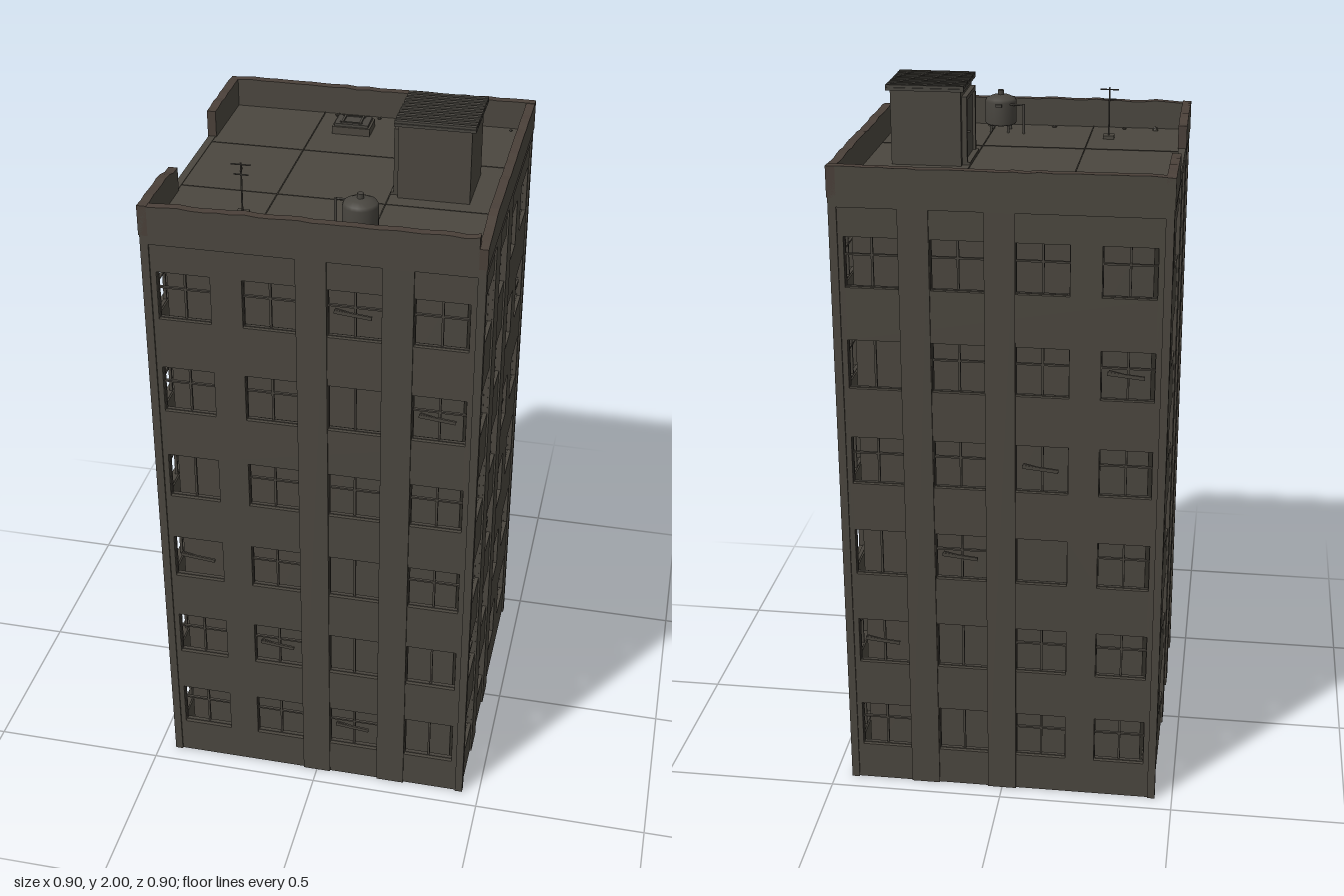
import * as THREE from 'three';

const mat = (name, color) => Object.assign(new THREE.MeshStandardMaterial({ color }), { name });

export function createModel() {
  const concrete = mat('concrete', 0x4b473f);
  const trim = mat('trim', 0x48443d);
  const metal = mat('metal', 0x48453f);
  const rust = mat('rusty concrete', 0x4a4039);
  const model = new THREE.Group();
  model.name = 'derelictTowerBlock';

  let seed = 7;
  const rand = () => (seed = (seed * 16807) % 2147483647) / 2147483647;

  const add = (parent, name, geometry, material, x = 0, y = 0, z = 0) => {
    const mesh = new THREE.Mesh(geometry, material);
    mesh.name = name;
    mesh.position.set(x, y, z);
    parent.add(mesh);
    return mesh;
  };
  // Box given by its limits on each axis
  const box = (parent, name, material, x0, x1, y0, y1, z0, z1) =>
    add(parent, name, new THREE.BoxGeometry(x1 - x0, y1 - y0, z1 - z0), material,
      (x0 + x1) / 2, (y0 + y1) / 2, (z0 + z1) / 2);
  const rod = (parent, name, material, r, a, b) => {
    const path = new THREE.LineCurve3(new THREE.Vector3(...a), new THREE.Vector3(...b));
    return add(parent, name, new THREE.TubeGeometry(path, 1, r, 6), material);
  };
  const extrude = (shape, depth) => new THREE.ExtrudeGeometry(shape, { depth, bevelEnabled: false });

  // Window grid shared by the four facades
  const columns = [-0.341, -0.112, 0.113, 0.341];
  const rows = [0.183, 0.463, 0.748, 1.03, 1.313, 1.6];
  const W = 0.072, H = 0.07;

  // Bar layout per window, bottom row first: + both bars, | upright, - crossbar, o empty
  const layouts = ['+++|', '++||', 'o+|+', '|+++', '++|+', '++++'];
  // Loose boards as [column, row]
  const frontBoards = [[2, 0], [1, 1], [0, 2], [3, 4], [2, 5]];
  const sideBoards = [[0, 1], [1, 2], [2, 3], [3, 4]];

  function windowUnit(parent, x, y, kind, board) {
    const g = new THREE.Group();
    g.name = 'window';
    g.position.set(x, y, 0.424);
    parent.add(g);
    const t = 0.004;
    for (const s of [-1, 1]) {
      box(g, 'frameSide', trim, s * W - t / 2, s * W + t / 2, -H, H, 0, 0.01);
      box(g, 'frameRail', trim, -W, W, s * H - t / 2, s * H + t / 2, 0, 0.01);
    }
    if (kind === '+' || kind === '-') box(g, 'crossbar', trim, -W, W, 0.016, 0.021, 0, 0.008);
    if (kind === '+' || kind === '|') box(g, 'mullion', trim, -0.003, 0.003, kind === '|' ? -H : -H * 0.95, H, 0, 0.008);
    if (board) {
      const plank = box(g, 'loosePlank', trim, -0.05, 0.05, -0.005, 0.005, 0.01, 0.016);
      plank.position.x = -0.005;
      plank.rotation.z = -0.1;
      box(g, 'plankSplinter', trim, -0.052, 0.0, 0.004, 0.009, 0.01, 0.015).rotation.z = -0.22;
    }
  }

  // Parapet section with a chipped top edge
  function parapet(parent, u0, u1, height) {
    const shape = new THREE.Shape();
    shape.moveTo(u0, 1.775);
    shape.lineTo(u1, 1.775);
    const n = Math.max(4, Math.round((u1 - u0) / 0.035));
    for (let i = n; i >= 0; i--) {
      const u = u0 + ((u1 - u0) * i) / n;
      shape.lineTo(u, height(u) - rand() * 0.006);
    }
    add(parent, 'parapet', extrude(shape, 0.025), [concrete, rust], 0, 0, 0.427);
  }

  // Four facades: pierced wall, windows, pilasters, cornice
  const facades = [
    ['frontFacade', 0, [0, 0.227], frontBoards],
    ['leftFacade', Math.PI / 2, [-0.227, 0], sideBoards],
    ['backFacade', Math.PI, [-0.227, 0], sideBoards],
    ['rightFacade', -Math.PI / 2, [0, 0.227], frontBoards],
  ];
  facades.forEach(([name, angle, strips, boards], f) => {
    const g = new THREE.Group();
    g.name = name;
    g.rotation.y = angle;
    model.add(g);

    const wall = new THREE.Shape([[-0.445, 0], [0.445, 0], [0.445, 1.75], [-0.445, 1.75]]
      .map(([x, y]) => new THREE.Vector2(x, y)));
    rows.forEach((y, r) => columns.forEach((x, c) => {
      wall.holes.push(new THREE.Path([[-W, -H], [-W, H], [W, H], [W, -H]]
        .map(([a, b]) => new THREE.Vector2(x + a, y + b))));
      windowUnit(g, x, y, layouts[r][(c + f) % 4], boards.some(([bc, br]) => bc === c && br === r));
    }));
    add(g, 'wall', extrude(wall, 0.025), concrete, 0, 0, 0.42);

    for (const u of strips) box(g, 'pilaster', concrete, u - 0.041, u + 0.041, 0, 1.75, 0.44, 0.45);
    box(g, 'cornice', concrete, -0.45, 0.45, 1.75, 1.78, 0.43, 0.45);

    if (f === 3) {
      // Collapsed middle stretch
      parapet(g, -0.452, -0.185, () => 1.86);
      parapet(g, 0.18, 0.452, (u) => (u < 0.22 ? 1.85 : 1.86));
    } else if (f === 1) {
      // Broken front corner
      parapet(g, -0.452, 0.452, (u) => (u < -0.34 ? 1.835 + (u + 0.452) * 0.12 : 1.862));
    } else {
      parapet(g, -0.452, f === 0 ? 0.43 : 0.452, () => 1.862);
    }
  });
  for (const sx of [-1, 1]) for (const sz of [-1, 1])
    add(model, 'cornerPost', new THREE.BoxGeometry(0.022, 1.75, 0.022), concrete, sx * 0.439, 0.875, sz * 0.439);

  // Solid core behind the windows, floor and roof slabs
  box(model, 'core', concrete, -0.4, 0.4, 0.015, 1.755, -0.4, 0.4);
  box(model, 'floorSlab', concrete, -0.425, 0.425, 0.008, 0.02, -0.425, 0.425);
  box(model, 'roofSlab', concrete, -0.447, 0.447, 1.75, 1.778, -0.447, 0.447);
  for (const x of [-0.163, 0.132]) box(model, 'roofSeam', trim, x - 0.0015, x + 0.0015, 1.777, 1.78, -0.427, 0.427);
  for (const z of [-0.15, 0.145]) box(model, 'roofSeam', trim, -0.44, 0.427, 1.777, 1.7795, z - 0.001, z + 0.001);

  // Stair house with ribbed roof and door
  const house = new THREE.Group();
  house.name = 'stairHouse';
  model.add(house);
  box(house, 'houseWalls', concrete, 0.155, 0.35, 1.778, 1.985, -0.098, 0.098);
  box(house, 'houseRoof', metal, 0.145, 0.361, 1.985, 1.993, -0.109, 0.109);
  for (let i = 0; i < 10; i++) {
    const z = -0.099 + i * 0.022;
    box(house, 'roofRib', metal, 0.145, 0.361, 1.992, 2.0, z - 0.006, z + 0.006);
  }
  for (const s of [-1, 1]) box(house, 'doorPost', trim, 0.141, 0.156, 1.778, 1.965, s * 0.075 - 0.006, s * 0.075 + 0.006);
  box(house, 'doorLintel', trim, 0.141, 0.156, 1.955, 1.967, -0.081, 0.081);
  box(house, 'door', metal, 0.149, 0.156, 1.78, 1.956, -0.07, 0.07);
  box(house, 'doorStep', concrete, 0.133, 0.156, 1.778, 1.785, -0.081, 0.081);
  box(house, 'doorHandle', metal, 0.136, 0.15, 1.862, 1.868, -0.052, -0.047);

  // Roof hatch
  const hatch = new THREE.Group();
  hatch.name = 'roofHatch';
  model.add(hatch);
  box(hatch, 'hatchCurb', concrete, -0.11, 0, 1.778, 1.8, -0.36, -0.28);
  box(hatch, 'hatchLid', metal, -0.104, -0.006, 1.8, 1.808, -0.354, -0.286);
  for (const x of [-0.082, -0.03]) box(hatch, 'hatchBar', metal, x - 0.003, x + 0.003, 1.808, 1.813, -0.348, -0.292);
  for (const z of [-0.345, -0.298]) box(hatch, 'hatchRail', metal, -0.09, -0.024, 1.808, 1.811, z - 0.002, z + 0.002);

  // Water tank on legs
  const tank = new THREE.Group();
  tank.name = 'waterTank';
  tank.position.set(0.107, 1.778, 0.343);
  model.add(tank);
  const profile = [[0, 0.022], [0.043, 0.022], [0.047, 0.028], [0.047, 0.09], [0.043, 0.098], [0.025, 0.106], [0, 0.11]];
  add(tank, 'tankBody', new THREE.LatheGeometry(profile.map(([x, y]) => new THREE.Vector2(x, y)), 20), metal);
  add(tank, 'tankCap', new THREE.CylinderGeometry(0.009, 0.009, 0.014, 10), metal, 0, 0.115, 0);
  for (let i = 0; i < 4; i++) {
    const a = Math.PI / 4 + (i * Math.PI) / 2;
    add(tank, 'tankLeg', new THREE.CylinderGeometry(0.004, 0.004, 0.03, 6), metal, 0.036 * Math.cos(a), 0.015, 0.036 * Math.sin(a));
  }
  rod(tank, 'tankPipe', metal, 0.003, [-0.03, 0.085, -0.032], [-0.072, 0.085, -0.032]);
  rod(tank, 'tankDownpipe', metal, 0.004, [-0.072, 0, -0.032], [-0.072, 0.088, -0.032]);
  box(tank, 'tankValve', metal, -0.009, 0.009, 0.08, 0.088, -0.055, -0.044);

  // Aerial
  const aerial = new THREE.Group();
  aerial.name = 'aerial';
  aerial.position.set(-0.22, 1.778, 0.287);
  model.add(aerial);
  box(aerial, 'aerialBase', concrete, -0.016, 0.016, 0, 0.01, -0.016, 0.016);
  rod(aerial, 'aerialMast', metal, 0.0025, [0, 0, 0], [0, 0.15, 0]);
  rod(aerial, 'aerialArm', metal, 0.002, [-0.027, 0.143, 0], [0.027, 0.143, 0]);
  rod(aerial, 'aerialArm', metal, 0.002, [-0.02, 0.115, 0], [0.02, 0.115, 0]);
  rod(aerial, 'aerialArm', metal, 0.002, [0, 0.128, -0.012], [0, 0.128, 0.012]);

  // Rubble along the parapets
  const rubble = [[-0.12, -0.41], [-0.09, -0.405], [-0.068, -0.404], [0.003, -0.41], [0.083, -0.404], [0.105, -0.412],
    [0.147, -0.413], [0.193, -0.41], [0.39, -0.405], [-0.35, 0.4], [-0.257, 0.402], [-0.047, 0.402],
    [0.148, 0.402], [0.262, 0.402], [0.268, 0.41], [0.332, 0.41], [0.39, 0.413]];
  for (const [x, z] of rubble) {
    const stone = add(model, 'rubble', new THREE.IcosahedronGeometry(0.005 + rand() * 0.005, 0), concrete, x, 1.781, z);
    stone.rotation.set(rand() * 3, rand() * 3, 0);
    stone.scale.y = 0.7;
  }
  return model;
}
